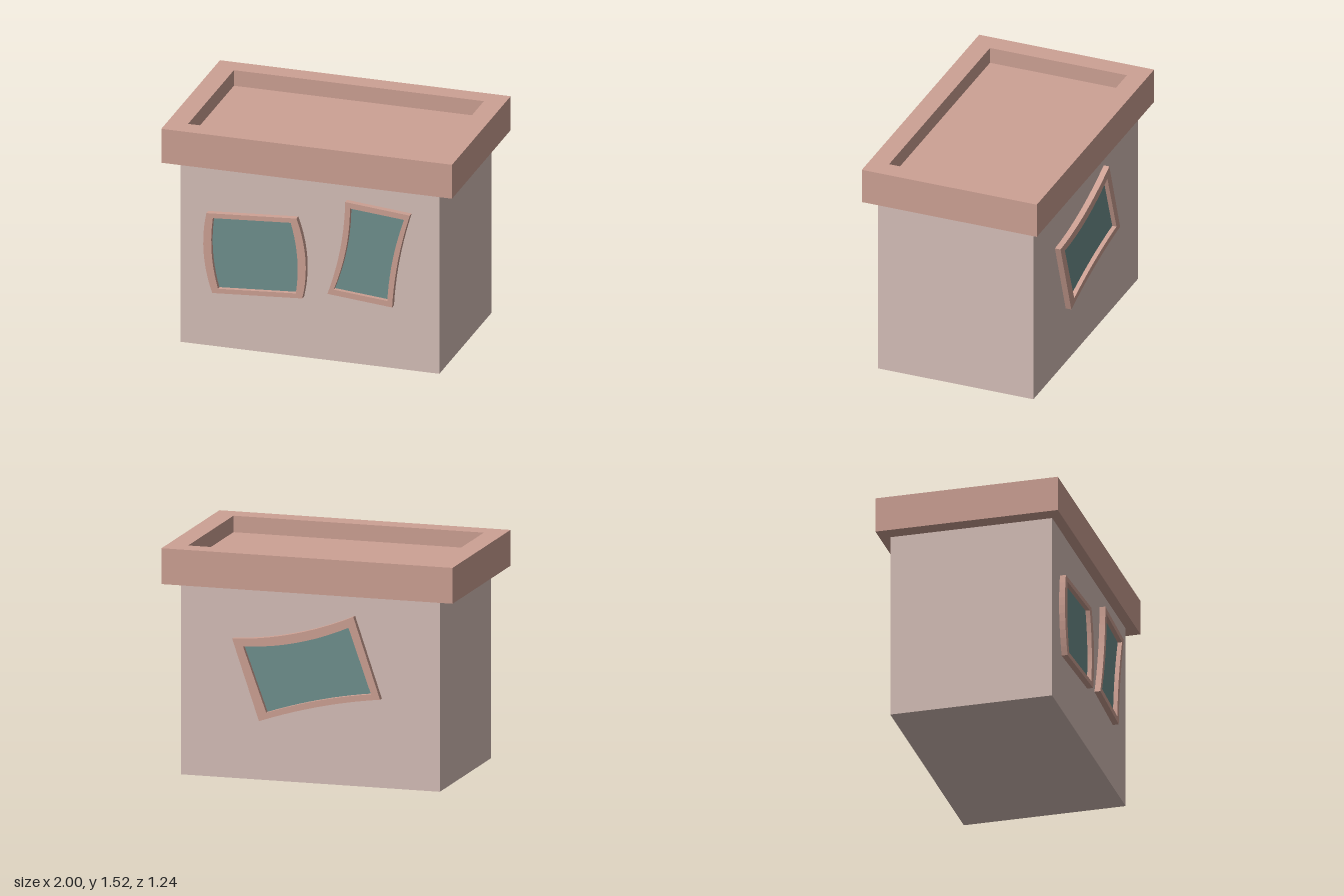
import * as THREE from 'three';

const mat = (name, color) => {
  const m = new THREE.MeshStandardMaterial({ color });
  m.name = name;
  return m;
};

// Traces a four-cornered outline (top left, bottom left, bottom right, top right).
// bends: [x, y] shift of the middle of each edge: left, bottom, right, top.
function trace(path, corners, bends) {
  path.moveTo(...corners[0]);
  corners.forEach((a, i) => {
    const b = corners[(i + 1) % 4];
    const bend = bends[i];
    if (!bend) path.lineTo(...b);
    else path.quadraticCurveTo(
      (a[0] + b[0]) / 2 + bend[0] * 2, (a[1] + b[1]) / 2 + bend[1] * 2, b[0], b[1]);
  });
  return path;
}

export function createModel() {
  const wall = mat('wall plaster', 0xd6bfb8);
  const trim = mat('clay trim', 0xcda194);
  const glass = mat('teal glass', 0x6f908d);
  const model = new THREE.Group();
  model.name = 'house';

  const add = (parent, name, geometry, material) => {
    const mesh = new THREE.Mesh(geometry, material);
    mesh.name = name;
    parent.add(mesh);
    return mesh;
  };

  // Walls
  add(model, 'walls', new THREE.BoxGeometry(1.78, 1.28, 1.1), wall).position.y = 0.64;

  // Flat roof slab with a raised parapet around it
  const rect = (path, w, d) => trace(path, [[-w, d], [-w, -d], [w, -d], [w, d]], []);
  const rim = rect(new THREE.Shape(), 1, 0.62);
  rim.holes.push(rect(new THREE.Path(), 0.86, 0.485));
  const parapet = add(model, 'roofParapet',
    new THREE.ExtrudeGeometry(rim, { depth: 0.24, bevelEnabled: false }), trim);
  parapet.rotation.x = -Math.PI / 2;
  parapet.position.y = 1.28;
  add(model, 'roofFloor', new THREE.BoxGeometry(1.72, 0.13, 0.97), trim).position.y = 1.345;

  // Crooked windows: a protruding frame around a recessed pane
  const addWindow = (name, outer, outerBends, inner, innerBends) => {
    const group = new THREE.Group();
    group.name = name;
    const frame = trace(new THREE.Shape(), outer, outerBends);
    frame.holes.push(trace(new THREE.Path(), inner, innerBends));
    add(group, 'windowFrame', new THREE.ExtrudeGeometry(frame,
      { depth: 0.04, bevelEnabled: false, curveSegments: 10 }), trim).position.z = 0.55;
    add(group, 'windowPane', new THREE.ShapeGeometry(
      trace(new THREE.Shape(), inner, innerBends), 10), glass).position.z = 0.56;
    model.add(group);
    return group;
  };

  addWindow('bulgingWindow',
    [[-0.70, 0.95], [-0.66, 0.39], [-0.04, 0.43], [-0.08, 0.99]],
    [[-0.039, 0], null, [0.042, 0], null],
    [[-0.655, 0.92], [-0.62, 0.425], [-0.085, 0.46], [-0.12, 0.955]],
    [[-0.026, 0], null, [0.028, 0], null]);

  addWindow('pinchedWindow',
    [[0.255, 1.15], [0.133, 0.485], [0.578, 0.445], [0.70, 1.11]],
    [[0.028, 0], null, [-0.021, 0], null],
    [[0.288, 1.108], [0.176, 0.52], [0.545, 0.487], [0.66, 1.075]],
    [[0.028, 0], null, [-0.021, 0], null]);

  // Outline as seen from behind, then turned onto the back wall
  addWindow('backWindow',
    [[-0.524, 0.94], [-0.34, 0.40], [0.492, 0.598], [0.308, 1.14]],
    [null, [0, 0.025], null, [0, -0.042]],
    [[-0.45, 0.894], [-0.29, 0.46], [0.43, 0.63], [0.275, 1.065]],
    [null, [0, 0.02], null, [0, -0.04]]).rotation.y = Math.PI;

  return model;
}
